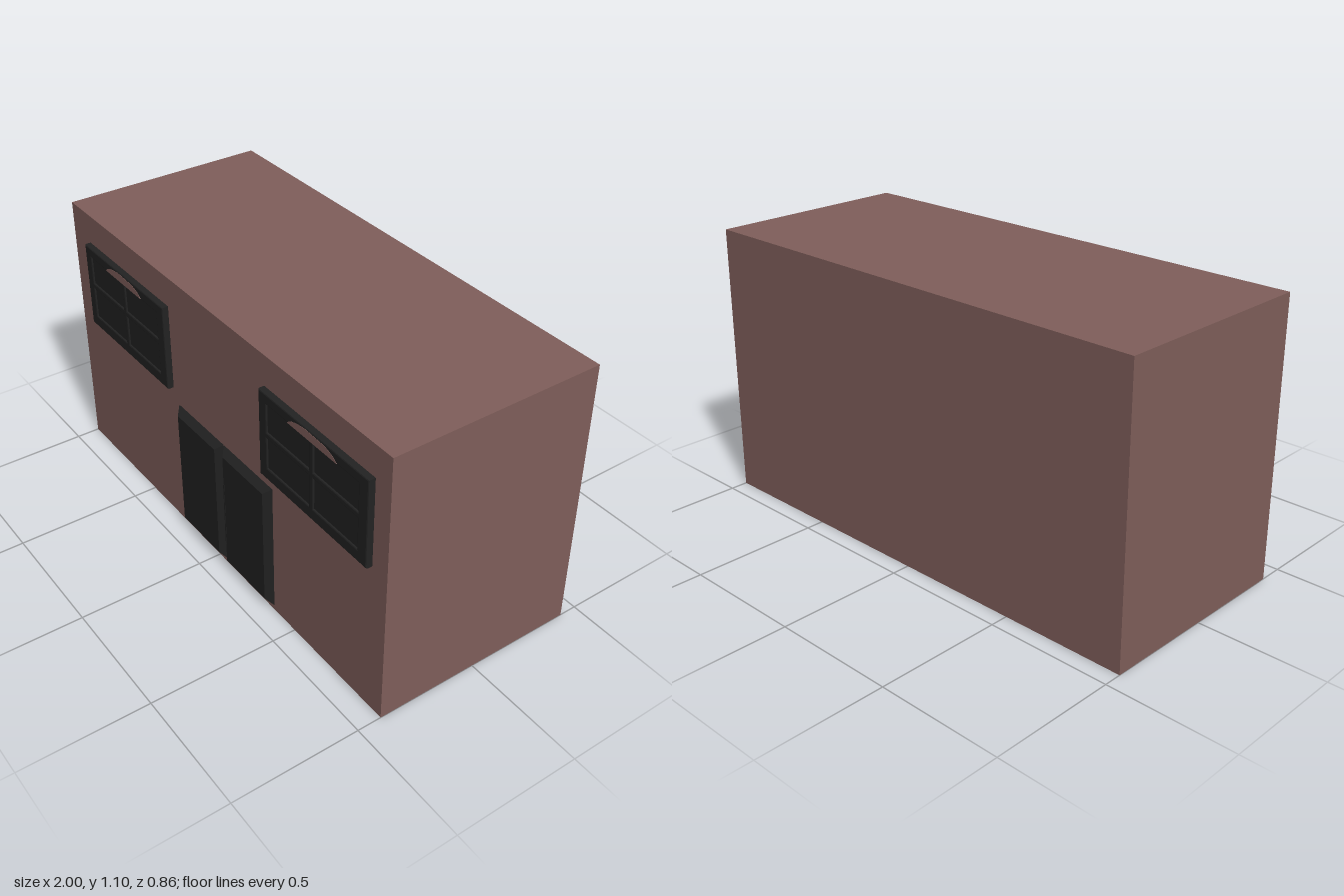
import * as THREE from 'three';

const mat = (name, color) => {
  const m = new THREE.MeshStandardMaterial({ color });
  m.name = name;
  return m;
};

const WALL_Z = 0.405; // front face of the building
const FRONT_Z = 0.43; // front face of windows and doors

function rectPath(P, x0, y0, x1, y1) {
  const p = new P();
  p.moveTo(x0, y0);
  p.lineTo(x1, y0);
  p.lineTo(x1, y1);
  p.lineTo(x0, y1);
  p.closePath();
  return p;
}

export function createModel() {
  const brown = mat('brown wall', 0x7f5e5a);
  const black = mat('black paint', 0x222222);
  const model = new THREE.Group();
  model.name = 'building';

  const add = (parent, name, geometry, material, x = 0, y = 0, z = 0) => {
    const mesh = new THREE.Mesh(geometry, material);
    mesh.name = name;
    mesh.position.set(x, y, z);
    parent.add(mesh);
    return mesh;
  };

  // Main block
  add(model, 'walls', new THREE.BoxGeometry(2, 1.095, WALL_Z + 0.43), brown, 0, 0.5475, (WALL_Z - 0.43) / 2);

  // Window frame with four sunken panes, drawn around the window's centre
  const W = 0.295, H = 0.175;
  const frameShape = rectPath(THREE.Shape, -W, -H, W, H);
  for (const [x0, x1] of [[-0.25, -0.012], [0.012, 0.245]]) {
    for (const [y0, y1] of [[-0.127, -0.002], [0.022, 0.135]]) {
      frameShape.holes.push(rectPath(THREE.Path, x0, y0, x1, y1));
    }
  }
  const frameGeo = new THREE.ExtrudeGeometry(frameShape, {
    depth: 0.019, bevelThickness: 0.005, bevelSize: 0.005, bevelOffset: -0.005, bevelSegments: 2,
  });
  const paneGeo = new THREE.BoxGeometry(2 * W - 0.04, 2 * H - 0.04, 0.02);

  // Low arch over the panes
  const arch = new THREE.Shape();
  arch.moveTo(-0.13, 0.136);
  arch.lineTo(0.135, 0.136);
  arch.quadraticCurveTo(0.125, 0.155, 0.07, 0.166);
  arch.lineTo(-0.03, 0.169);
  arch.quadraticCurveTo(-0.11, 0.162, -0.13, 0.136);
  const archGeo = new THREE.ExtrudeGeometry(arch, { depth: 0.002, bevelEnabled: false, curveSegments: 5 });

  for (const [name, x] of [['rightWindow', -0.575], ['leftWindow', 0.63]]) {
    const win = new THREE.Group();
    win.name = name;
    win.position.set(x, 0.8, 0);
    add(win, 'frame', frameGeo, black, 0, 0, FRONT_Z - 0.024);
    add(win, 'panes', paneGeo, black, 0, 0, 0.414);
    add(win, 'arch', archGeo, brown, 0, 0, FRONT_Z - 0.001);
    model.add(win);
  }

  // Double door: slabs whose front face is inset to slope the edges
  const doorW = 0.308, doorH = 0.545, depth = FRONT_Z - WALL_Z, slope = 0.027;
  const doorGeo = new THREE.BoxGeometry(doorW, doorH, depth);
  const p = doorGeo.attributes.position;
  for (let i = 0; i < p.count; i++) {
    if (p.getZ(i) > 0) {
      p.setX(i, p.getX(i) - Math.sign(p.getX(i)) * slope);
      p.setY(i, p.getY(i) - Math.sign(p.getY(i)) * slope);
    }
  }
  doorGeo.computeVertexNormals();
  const doorY = 0.02 + doorH / 2;
  add(model, 'rightDoor', doorGeo, black, -0.092, doorY, WALL_Z + depth / 2);
  add(model, 'leftDoor', doorGeo, black, 0.217, doorY, WALL_Z + depth / 2);

  // Slim pull strip on the left door
  add(model, 'doorPull', new THREE.BoxGeometry(0.006, 0.28, 0.003), black, 0.092, 0.275, FRONT_Z);

  // Worn patches on the sloped bottom edge
  for (const [x0, x1] of [[-0.165, -0.1], [-0.035, 0.01], [0.145, 0.21], [0.285, 0.34]]) {
    const patch = add(model, 'wornPatch', new THREE.BoxGeometry(x1 - x0, 0.026, 0.002), brown,
      (x0 + x1) / 2, 0.02 + slope / 2, WALL_Z + depth / 2);
    patch.rotation.x = Math.atan2(depth, slope);
  }

  return model;
}
